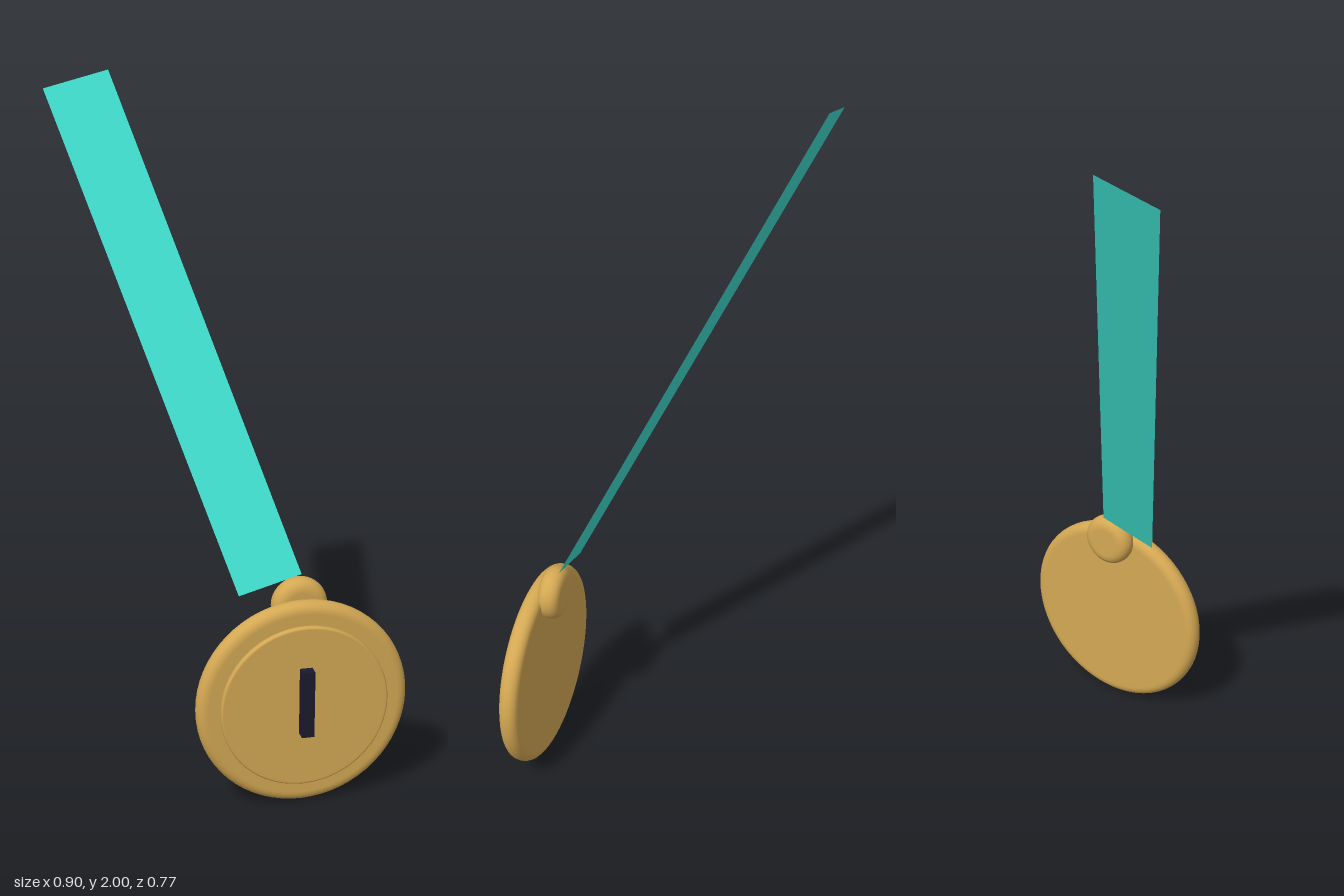
import * as THREE from 'three';

const gold = new THREE.MeshStandardMaterial({ color: 0xd4a853 });
gold.name = 'gold';
const navy = new THREE.MeshStandardMaterial({ color: 0x1a1a2e });
navy.name = 'darkNavy';
const turquoise = new THREE.MeshStandardMaterial({ color: 0x40e0d0, side: THREE.DoubleSide });
turquoise.name = 'turquoise';

const CX = 0.141, CY = 0.307; // medal centre

// Disc facing +z with a rounded rim
function roundedDisc(name, radius, depth, round, x, y, z) {
  const h = depth / 2;
  const half = [new THREE.Vector2(radius - round - 0.005, h)];
  for (let i = 0; i <= 5; i++) {
    const a = Math.PI / 2 * (1 - i / 5);
    half.push(new THREE.Vector2(radius - round + round * Math.cos(a), h - round + round * Math.sin(a)));
  }
  const lower = half.map(p => new THREE.Vector2(p.x, -p.y));
  const profile = [new THREE.Vector2(0, -h), ...lower, ...half.slice().reverse(), new THREE.Vector2(0, h)];
  const mesh = new THREE.Mesh(new THREE.LatheGeometry(profile, 64), gold);
  mesh.name = name;
  mesh.rotation.x = Math.PI / 2;
  mesh.position.set(x, y, z);
  return mesh;
}

export function createModel() {
  const group = new THREE.Group();
  group.name = 'medal';

  // Main body, raised face and the hanger behind the top edge
  group.add(roundedDisc('medalBody', 0.306, 0.058, 0.027, CX, CY, 0.311));
  group.add(roundedDisc('raisedFace', 0.242, 0.02, 0.006, CX, CY, 0.344));
  group.add(roundedDisc('hanger', 0.08, 0.067, 0.031, CX + 0.001, 0.585, 0.267));

  // Upright bar on the face
  const bar = new THREE.Mesh(new THREE.BoxGeometry(0.036, 0.198, 0.037), navy);
  bar.name = 'faceBar';
  bar.position.set(CX, 0.328, 0.3675);
  group.add(bar);

  // Flat slanted ribbon
  const ribbonGeometry = new THREE.BufferGeometry();
  ribbonGeometry.setAttribute('position', new THREE.Float32BufferAttribute([
    -0.027, 0.616, 0.25,
    0.154, 0.665, 0.248,
    -0.262, 2.0, -0.387,
    -0.45, 1.951, -0.387,
  ], 3));
  ribbonGeometry.setIndex([0, 1, 2, 0, 2, 3]);
  ribbonGeometry.computeVertexNormals();
  const ribbon = new THREE.Mesh(ribbonGeometry, turquoise);
  ribbon.name = 'ribbon';
  group.add(ribbon);

  return group;
}
